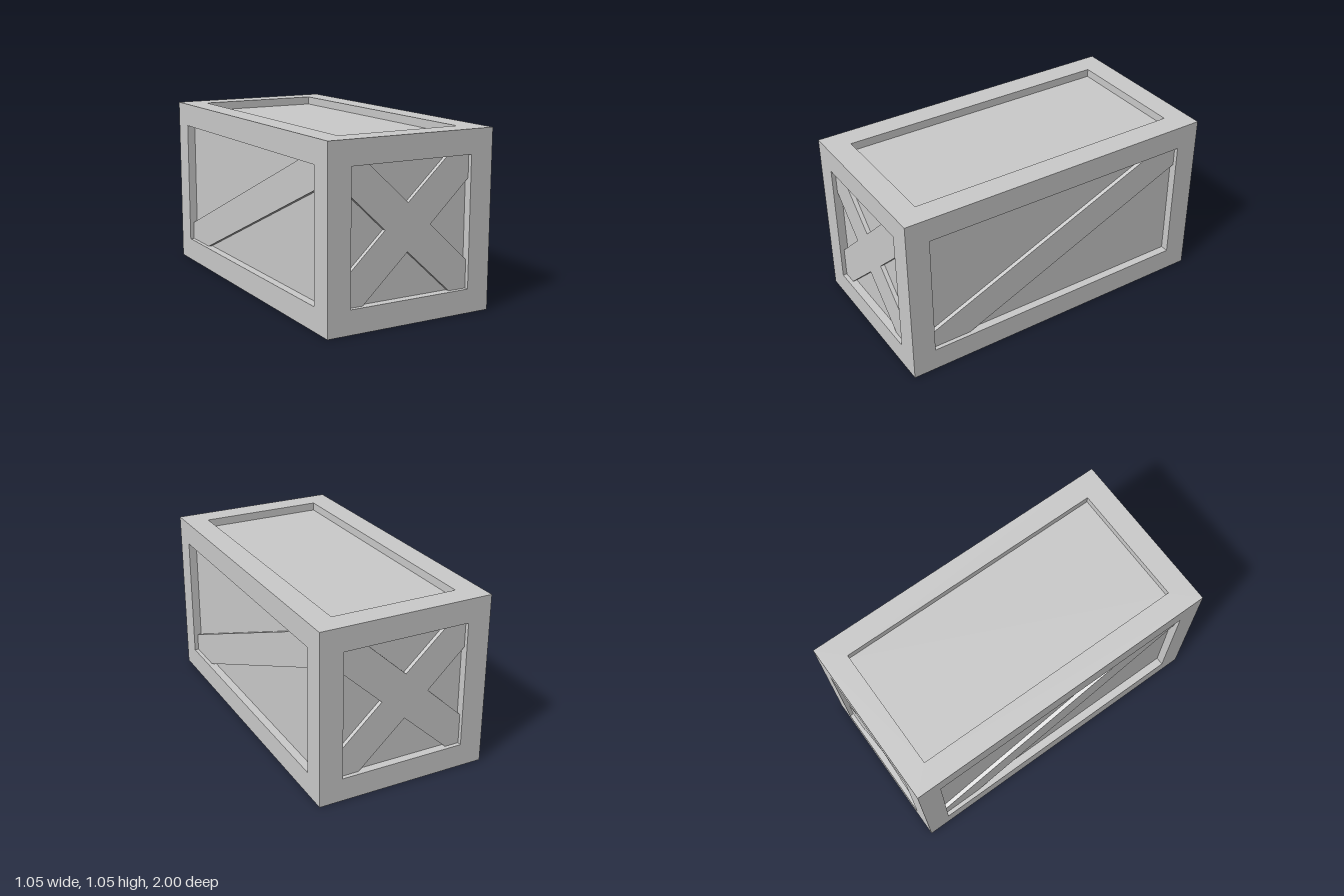
import * as THREE from 'three';
import { mergeGeometries } from 'three/addons/utils/BufferGeometryUtils.js';

const S = 1.054, L = 2;        // square section and length
const BORDER = 0.142, RECESS = 0.05, BRACE = 0.025;
const H = S / 2;

const material = new THREE.MeshStandardMaterial({ color: 0xcccccc, flatShading: true });
const toShape = (pts) => new THREE.Shape(pts.map(([x, y]) => new THREE.Vector2(x, y)));
const rect = (w, h) => [[-w / 2, -h / 2], [w / 2, -h / 2], [w / 2, h / 2], [-w / 2, h / 2]];

function addMesh(group, name, geometry) {
  const mesh = new THREE.Mesh(geometry, material);
  mesh.name = name;
  group.add(mesh);
}

// One side of the crate in the XY plane facing +z: border, recess walls, sunken panel, brace
function crateSide(name, w, h, bracePoints) {
  const group = new THREE.Group();
  group.name = name;
  const iw = w - 2 * BORDER, ih = h - 2 * BORDER;

  const border = toShape(rect(w, h));
  border.holes.push(toShape(rect(iw, ih)));
  const parts = [new THREE.ShapeGeometry(border)];
  for (let k = 0; k < 4; k++) {
    const [len, off] = k % 2 ? [ih, iw / 2] : [iw, ih / 2];
    parts.push(new THREE.PlaneGeometry(len, RECESS)
      .rotateX(-Math.PI / 2)
      .translate(0, -off, -RECESS / 2)
      .rotateZ(k * Math.PI / 2));
  }
  addMesh(group, 'frame', mergeGeometries(parts));
  addMesh(group, 'panel', new THREE.PlaneGeometry(iw, ih).translate(0, 0, -RECESS));

  if (bracePoints) {
    const brace = new THREE.ExtrudeGeometry(toShape(bracePoints), { depth: BRACE, bevelEnabled: false });
    addMesh(group, 'brace', brace.translate(0, 0, -RECESS));
  }
  return group;
}

export function createModel() {
  const model = new THREE.Group();
  model.name = 'crate';

  // Brace outlines, clipped to the opening
  const a = H - BORDER, b = L / 2 - BORDER;
  const cross = [
    [-a, -a], [-0.295, -a], [-0.012, -0.122], [0.272, -a], [a, -a], [a, -0.218],
    [0.135, 0.015], [a, 0.25], [a, a], [0.24, a], [-0.012, 0.152], [-0.265, a],
    [-a, a], [-a, 0.23], [-0.158, 0.015], [-a, -0.198],
  ];
  const mirroredCross = cross.map(([x, y]) => [-x, y]).reverse();
  const diagonal = [[-b, -a], [-0.61, -a], [b, 0.257], [b, a], [0.66, a], [-b, -0.275]];

  // name, width, height, brace, position, rotation
  const q = Math.PI / 2;
  const sides = [
    ['frontSide', S, S, cross, [0, H, 1], [0, 0, 0]],
    ['backSide', S, S, mirroredCross, [0, H, -1], [0, 2 * q, 0]],
    ['rightSide', L, S, diagonal, [H, H, 0], [0, q, 0]],
    ['leftSide', L, S, diagonal, [-H, H, 0], [0, -q, 0]],
    ['topSide', S, L, null, [0, S, 0], [-q, 0, 0]],
    ['bottomSide', S, L, null, [0, 0, 0], [q, 0, 0]],
  ];
  for (const [name, w, h, brace, position, rotation] of sides) {
    const side = crateSide(name, w, h, brace);
    side.position.set(...position);
    side.rotation.set(...rotation);
    model.add(side);
  }
  return model;
}
